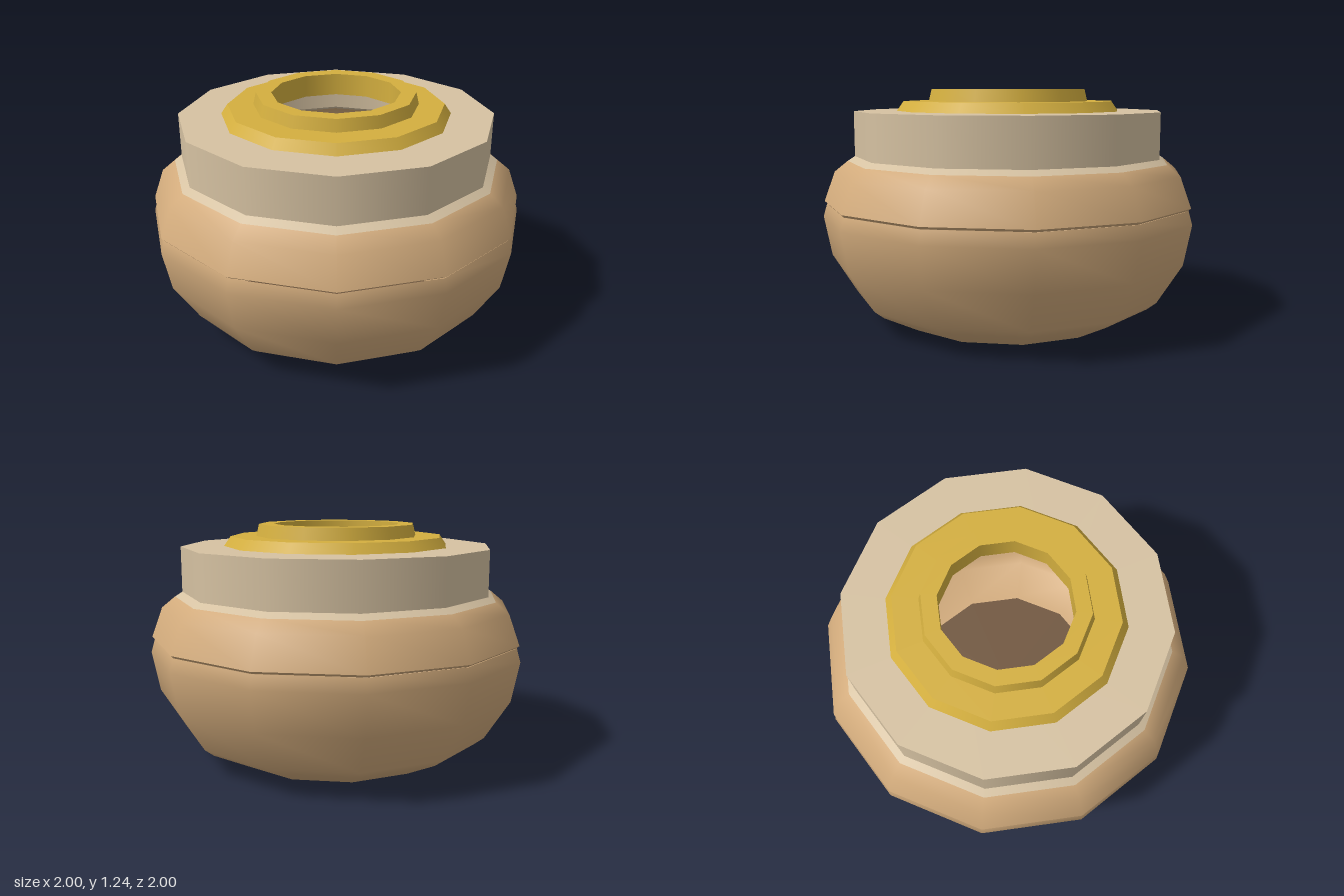
import * as THREE from 'three';

const SIDES = 12;

export function createModel() {
  const model = new THREE.Group();
  model.name = 'roundPot';

  const mat = (name, color) => {
    const m = new THREE.MeshStandardMaterial({ color, side: THREE.DoubleSide });
    m.name = name;
    return m;
  };
  const tan = mat('tan clay', 0xd2ab7c);
  const cream = mat('cream', 0xd6c2a2);
  const gold = mat('gold', 0xd4af3f);
  const brown = mat('dark brown', 0x71573f);

  // Revolves a smooth profile of [radius, height] points
  const turn = (name, material, profile, parent = model) => {
    const points = profile.map(([r, y]) => new THREE.Vector2(r, y));
    const mesh = new THREE.Mesh(new THREE.LatheGeometry(points, SIDES), material);
    mesh.name = name;
    parent.add(mesh);
  };

  // Revolves a profile with a hard edge at every corner
  const turnSharp = (name, material, profile) => {
    const group = new THREE.Group();
    group.name = name;
    for (let i = 1; i < profile.length; i++) {
      turn(`${name}Face${i}`, material, [profile[i - 1], profile[i]], group);
    }
    model.add(group);
  };

  // Hollow bowl, rounded into its flat foot
  turn('bowl', tan, [
    [0, 0], [0.585, 0], [0.78, 0.1], [0.83, 0.14], [0.96, 0.35], [1, 0.56], [0.98, 0.63],
  ]);
  turn('bowlFloor', brown, [[0.57, 0.008], [0, 0.008]]);

  // Narrow ledge and rounded shoulder above the seam
  turn('seamLedge', tan, [[0.975, 0.63], [0.992, 0.643]]);
  turn('shoulder', tan, [[0.992, 0.643], [0.935, 0.8], [0.865, 0.857]]);
  turn('shoulderLip', cream, [[0.865, 0.857], [0.826, 0.882]]);

  // Straight collar with a flat top
  turnSharp('collar', cream, [[0.826, 0.88], [0.826, 1.12], [0.335, 1.12]]);

  // Stepped ring around the opening
  turnSharp('mouthRing', gold, [
    [0.6, 1.121], [0.565, 1.172], [0.43, 1.172], [0.415, 1.235], [0.335, 1.235], [0.335, 1.118],
  ]);

  return model;
}
